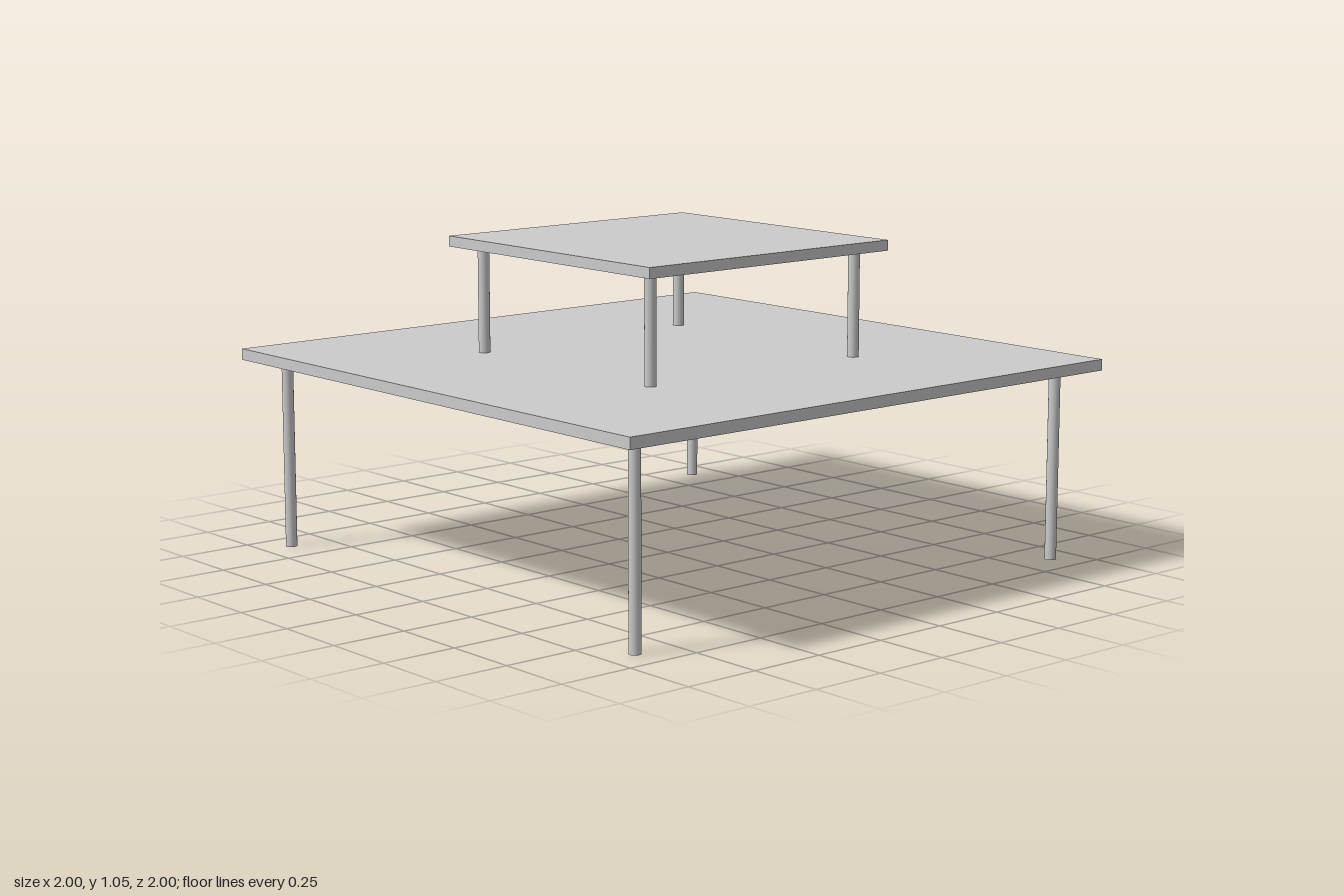
import * as THREE from 'three';

const material = new THREE.MeshStandardMaterial({ color: 0xcccccc });

// A square table: a thin slab on four round legs, standing at height base.
function makeTable(name, base, size, legHeight, thickness, legSpots) {
  const table = new THREE.Group();
  table.name = name;

  const top = new THREE.Mesh(new THREE.BoxGeometry(size, thickness, size), material);
  top.name = name + 'Top';
  top.position.y = base + legHeight + thickness / 2;
  table.add(top);

  const legGeometry = new THREE.CylinderGeometry(0.019, 0.019, legHeight, 32);
  legSpots.forEach(([x, z], i) => {
    const leg = new THREE.Mesh(legGeometry, material);
    leg.name = name + 'Leg' + (i + 1);
    leg.position.set(x, base + legHeight / 2, z);
    table.add(leg);
  });
  return table;
}

export function createModel() {
  const model = new THREE.Group();
  model.name = 'stackedTables';

  // Large table on the ground
  const d = 0.893;
  model.add(makeTable('largeTable', 0, 2, 0.631, 0.037,
    [[-d, d], [d, d], [d, -d], [-d, -d]]));

  // Small table standing on it, with slightly uneven leg placement
  model.add(makeTable('smallTable', 0.668, 1.013, 0.348, 0.035,
    [[-0.421, 0.431], [0.421, 0.431], [0.432, -0.427], [-0.441, -0.432]]));

  return model;
}
